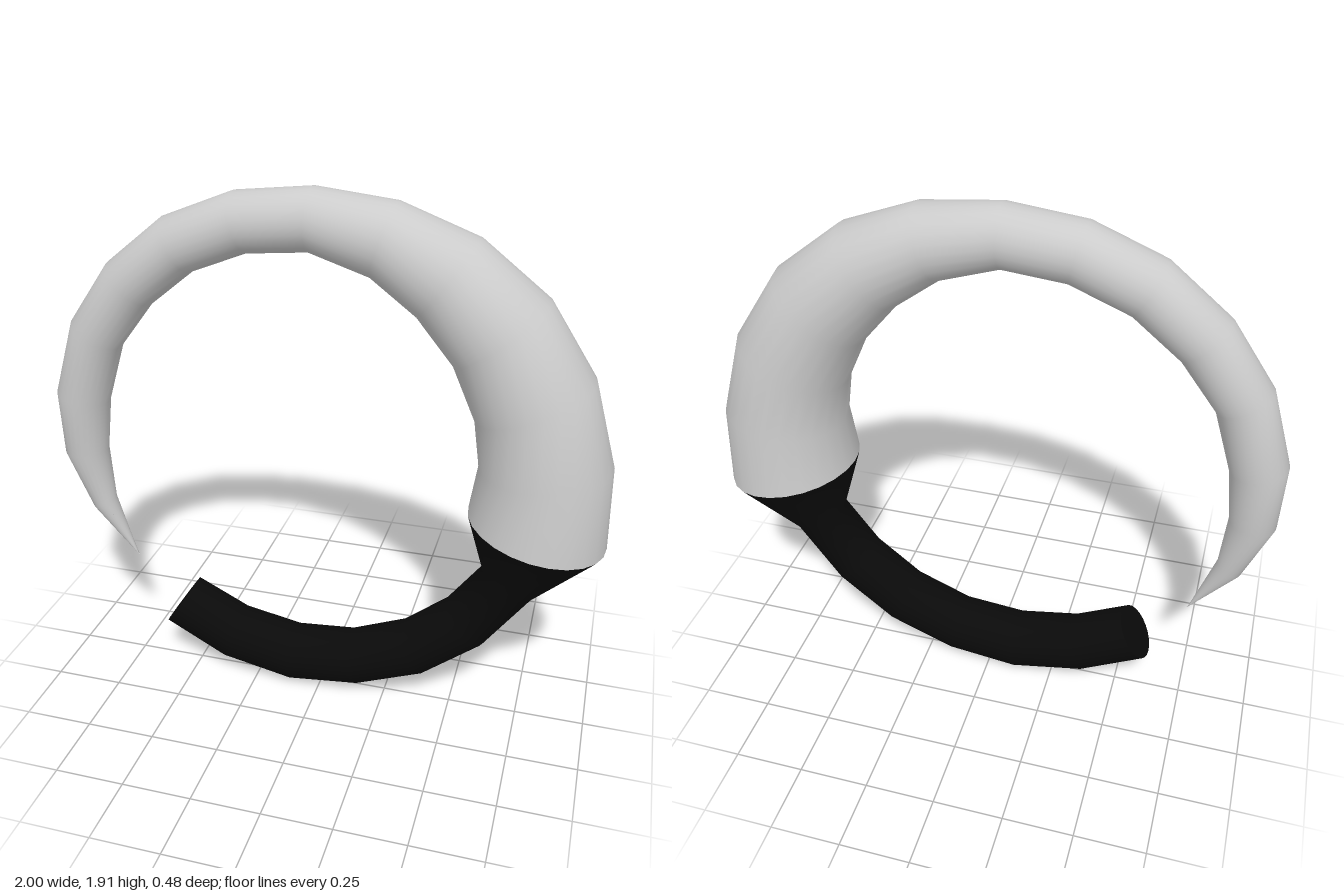
import * as THREE from 'three';

const SEGMENTS = 24;

// Sections run counter-clockwise seen from the front: [outerX, outerY, innerX, innerY]
const handleSections = [
  [-0.62, 0.18, -0.505, 0.35], [-0.385, 0.055, -0.315, 0.255], [-0.11, 0, -0.105, 0.215],
  [0.155, 0.03, 0.11, 0.235], [0.405, 0.13, 0.305, 0.315], [0.615, 0.3, 0.465, 0.445],
  [0.775, 0.525, 0.59, 0.615], [1, 0.755, 0.525, 0.845],
];
const hornSections = [
  [1, 0.755, 0.525, 0.845], [0.99, 1.06, 0.55, 1.02], [0.905, 1.35, 0.525, 1.19],
  [0.74, 1.6, 0.445, 1.37], [0.51, 1.78, 0.32, 1.52], [0.245, 1.88, 0.165, 1.635],
  [-0.03, 1.91, -0.04, 1.7], [-0.3, 1.88, -0.25, 1.68], [-0.55, 1.78, -0.45, 1.6],
  [-0.76, 1.61, -0.61, 1.47], [-0.915, 1.39, -0.74, 1.3], [-1, 1.12, -0.81, 1.08],
  [-0.995, 0.87, -0.835, 0.88], [-0.905, 0.64, -0.82, 0.68], [-0.738, 0.437, -0.742, 0.441],
];

// Points of one round section whose diameter joins the outer and inner points
function ring([ox, oy, ix, iy]) {
  const ux = (ox - ix) / 2, uy = (oy - iy) / 2, r = Math.hypot(ux, uy);
  return Array.from({ length: SEGMENTS }, (_, j) => {
    const a = (j / SEGMENTS) * Math.PI * 2, c = Math.cos(a);
    return [(ox + ix) / 2 + ux * c, (oy + iy) / 2 + uy * c, r * Math.sin(a)];
  });
}

// Smooth skin through round sections, optionally with a flat cap on the first
function loft(sections, cap) {
  const position = sections.flatMap((s) => ring(s).flat());
  const index = [];
  for (let i = 0; i < sections.length - 1; i++) {
    for (let j = 0; j < SEGMENTS; j++) {
      const k = (j + 1) % SEGMENTS;
      const a = i * SEGMENTS + j, b = i * SEGMENTS + k;
      index.push(a, a + SEGMENTS, b, b, a + SEGMENTS, b + SEGMENTS);
    }
  }
  if (cap) {
    const start = position.length / 3;
    position.push(...ring(sections[0]).flat());
    for (let j = 1; j < SEGMENTS - 1; j++) index.push(start, start + j, start + j + 1);
  }
  const geometry = new THREE.BufferGeometry();
  geometry.setAttribute('position', new THREE.Float32BufferAttribute(position, 3));
  geometry.setIndex(index);
  geometry.computeVertexNormals();
  return geometry;
}

export function createModel() {
  const model = new THREE.Group();
  model.name = 'curvedHorn';

  // Pointed grey horn
  const horn = new THREE.Mesh(
    loft(hornSections, false),
    new THREE.MeshStandardMaterial({ color: 0xcccccc, side: THREE.DoubleSide }),
  );
  horn.name = 'horn';

  // Black curved handle flaring out to meet the horn
  const handle = new THREE.Mesh(
    loft(handleSections, true),
    new THREE.MeshStandardMaterial({ color: 0x0a0a0a, side: THREE.DoubleSide }),
  );
  handle.name = 'handle';

  model.add(horn, handle);
  return model;
}
